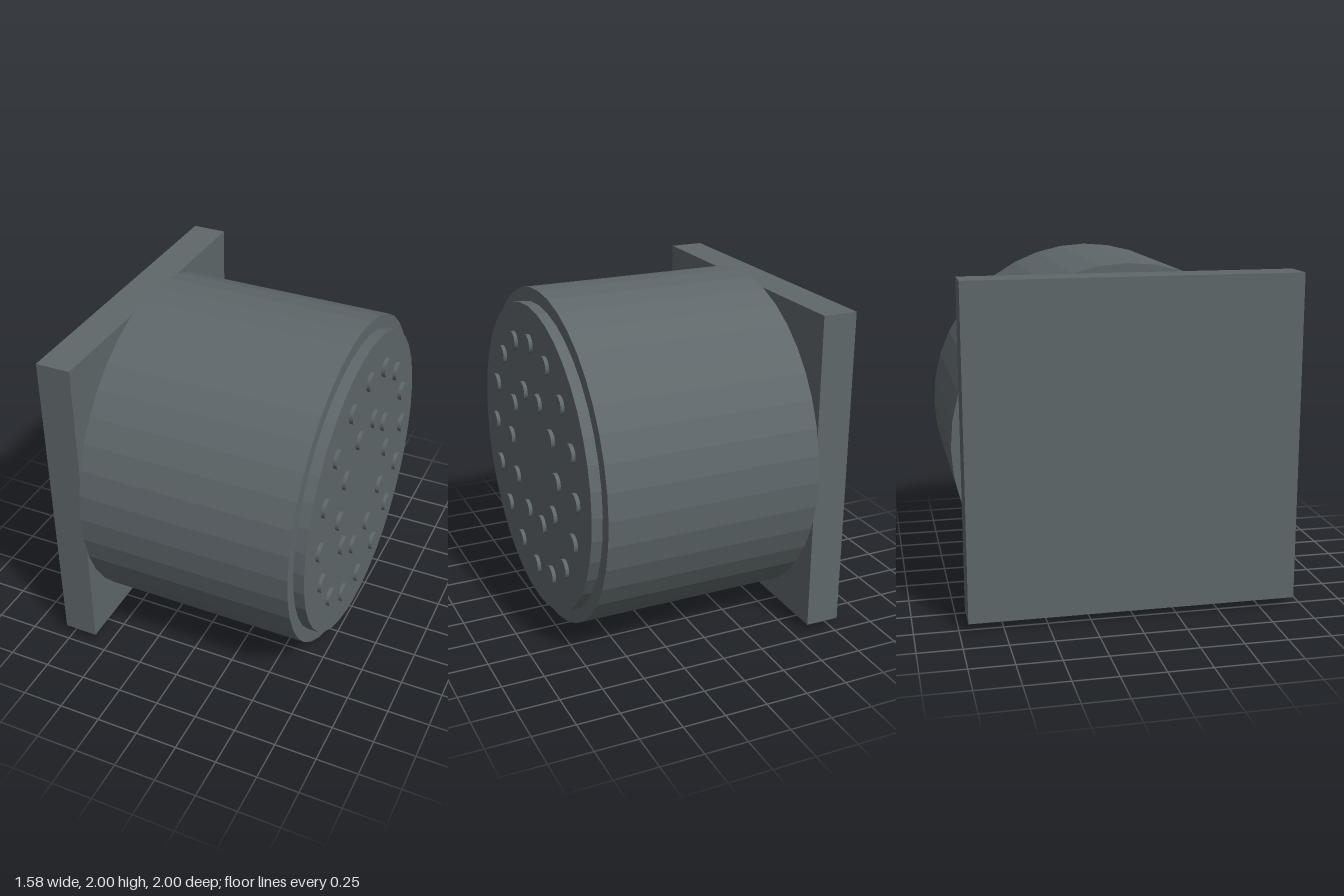
import * as THREE from 'three';

export function createModel() {
  const model = new THREE.Group();
  const slate = new THREE.MeshStandardMaterial({ color: 0x5f676a, flatShading: true });
  slate.name = 'slateGrey';

  const add = (name, geometry, parent = model) => {
    const mesh = new THREE.Mesh(geometry, slate);
    mesh.name = name;
    parent.add(mesh);
    return mesh;
  };

  // Cylinder lying along x, from x0 to x1, centred at height y and depth z
  const disc = (name, radius, x0, x1, sides, y = 1, z = 0, parent = model) => {
    const geometry = new THREE.CylinderGeometry(radius, radius, x1 - x0, sides);
    geometry.rotateZ(-Math.PI / 2);
    add(name, geometry, parent).position.set((x0 + x1) / 2, y, z);
  };

  // Square mounting plate, set just clear of the drum
  add('mountingPlate', new THREE.BoxGeometry(0.205, 1.9, 1.9)).position.set(-0.6875, 1, 0);

  // Main drum and its raised end face
  disc('drum', 1, -0.575, 0.7, 40);
  disc('facePlate', 0.92, 0.7, 0.763, 40);

  // Two rings of studs on the end face
  const ring = (name, count, radius) => {
    const group = new THREE.Group();
    group.name = name;
    for (let i = 0; i < count; i++) {
      const a = (i / count) * Math.PI * 2;
      disc('stud', 0.057, 0.755, 0.785, 24, 1 + radius * Math.sin(a), radius * Math.cos(a), group);
    }
    model.add(group);
  };
  ring('outerStuds', 16, 0.7);
  ring('innerStuds', 10, 0.4);

  return model;
}
